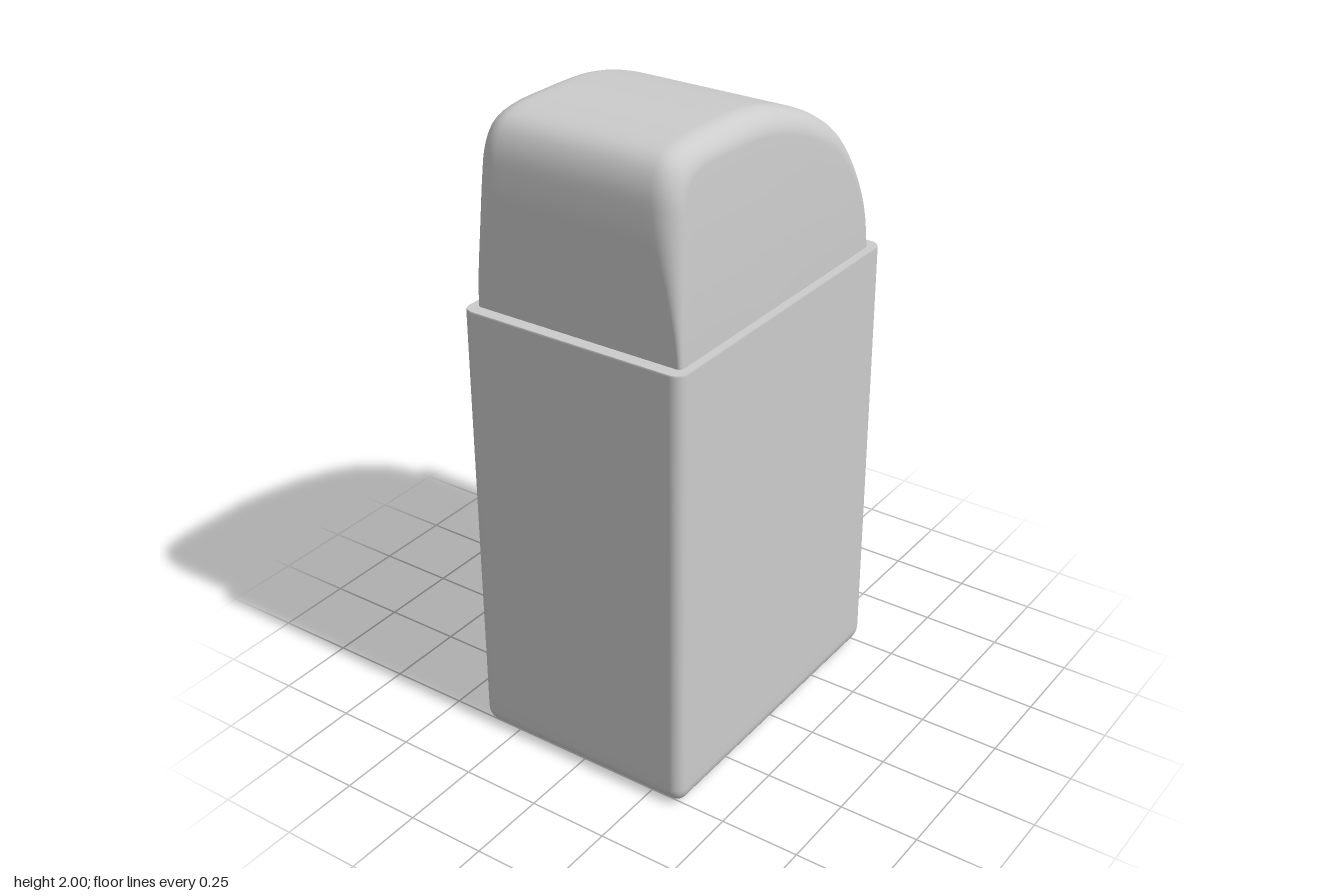
import * as THREE from 'three';

const material = new THREE.MeshStandardMaterial({ color: 0xcccccc });

// Skin a list of equally long rows of points; closed joins each row end to start.
function skin(name, rows, closed) {
  const n = rows[0].length, index = [];
  for (let i = 0; i < rows.length - 1; i++) {
    for (let j = 0; j < (closed ? n : n - 1); j++) {
      const k = (j + 1) % n;
      const a = i * n + j, b = i * n + k, c = a + n, d = b + n;
      index.push(a, c, b, b, c, d);
    }
  }
  const geometry = new THREE.BufferGeometry();
  geometry.setAttribute('position', new THREE.Float32BufferAttribute(rows.flat(2), 3));
  geometry.setIndex(index);
  geometry.computeVertexNormals();
  const mesh = new THREE.Mesh(geometry, material);
  mesh.name = name;
  return mesh;
}

// Horizontal rounded rectangle at height y.
function roundedRing(hx, hz, r, y) {
  const ring = [], steps = 6;
  for (let q = 0; q < 4; q++) {
    const sx = q === 0 || q === 3 ? 1 : -1, sz = q < 2 ? 1 : -1;
    for (let s = 0; s <= steps; s++) {
      const a = (q + s / steps) * Math.PI / 2;
      ring.push([sx * (hx - r) + r * Math.cos(a), y, sz * (hz - r) + r * Math.sin(a)]);
    }
  }
  return ring;
}

const HX = 0.368, HZ = 0.528, RIM = 1.42;

// Sleeve strip from levels of [inset x, inset z, y].
const sleeveStrip = (name, levels) => skin(name, levels.map(([ix, iz, y]) =>
  roundedRing(HX - ix, HZ - iz, Math.max(0.006, 0.036 - Math.min(ix, iz) * 0.8), y)), true);

function createSleeve() {
  const sleeve = new THREE.Group();
  sleeve.name = 'sleeve';
  // Outer wall curling under at the foot
  const wall = [];
  for (let i = 0; i <= 8; i++) {
    const a = i / 8 * Math.PI / 2;
    wall.push([0.04 * (1 - Math.sin(a)), 0.05 * (1 - Math.sin(a)), 0.055 * (1 - Math.cos(a))]);
  }
  wall.push([0, 0, 0.1], [0, 0, 0.7], [0, 0, RIM - 0.005], [0.002, 0.002, RIM]);
  sleeve.add(
    sleeveStrip('sleeveWall', wall),
    sleeveStrip('sleeveRim', [[0.002, 0.002, RIM], [0.026, 0.04, RIM]]),
    sleeveStrip('footRim', [[0.05, 0.06, 0], [0.04, 0.05, 0]]),
    sleeveStrip('footLip', [[0.05, 0.06, 0.06], [0.05, 0.06, 0]]),
  );
  return sleeve;
}

// Rounded top of the block, slanting down to the back
function createTip() {
  const curve = new THREE.CatmullRomCurve3([
    [0.487, 1.41], [0.49, 1.6], [0.492, 1.82], [0.482, 1.91], [0.45, 1.968], [0.39, 1.993],
    [0.22, 2], [0.05, 1.992], [-0.1, 1.955], [-0.25, 1.89], [-0.36, 1.81], [-0.43, 1.7],
    [-0.472, 1.57], [-0.487, 1.41],
  ].map(([z, y]) => new THREE.Vector3(0, y, z)), false, 'centripetal');
  const profile = curve.getSpacedPoints(72);
  const centre = new THREE.Vector3(0, 1.41, 0.05);
  const rise = y => Math.max(0, (y - 1.41) / 0.59);
  const halfWidth = y => 0.343 - 0.03 * rise(y) ** 1.5;
  const radius = y => 0.012 + 0.06 * THREE.MathUtils.smoothstep(rise(y), 0, 0.85);

  // One half: flat middle, rounded edge, then side face closing to the centre
  const half = [];
  for (const f of [0, 0.5, 0.9]) {
    half.push(profile.map(p => [f * (halfWidth(p.y) - radius(p.y)), p.y, p.z]));
  }
  const inward = (p, d) => {
    const v = p.clone().sub(centre);
    return v.setLength(Math.max(0, v.length() - d)).add(centre);
  };
  for (let i = 0; i <= 8; i++) {
    const a = i / 8 * Math.PI / 2;
    half.push(profile.map(p => {
      const r = radius(p.y), q = inward(p, r * (1 - Math.cos(a)));
      return [halfWidth(q.y) - r * (1 - Math.sin(a)), q.y, q.z];
    }));
  }
  for (const f of [0.1, 0.3, 0.5, 0.75, 1]) {
    half.push(profile.map(p => {
      const r = radius(p.y);
      const q = inward(p, r + f * (p.distanceTo(centre) - r));
      return [halfWidth(q.y), q.y, q.z];
    }));
  }
  const mirrored = half.slice(1).reverse().map(row => row.map(([x, y, z]) => [-x, y, z]));
  return skin('blockTip', [...mirrored, ...half], false);
}

export function createModel() {
  const model = new THREE.Group();
  model.name = 'eraser';

  // Block inside the sleeve, its base set back from the foot
  const block = new THREE.Group();
  block.name = 'block';
  const core = new THREE.Mesh(new THREE.BoxGeometry(0.684, 1.36, 0.972), material);
  core.name = 'blockCore';
  core.position.y = 0.05 + 0.68;
  block.add(core, createTip());

  model.add(createSleeve(), block);
  return model;
}
